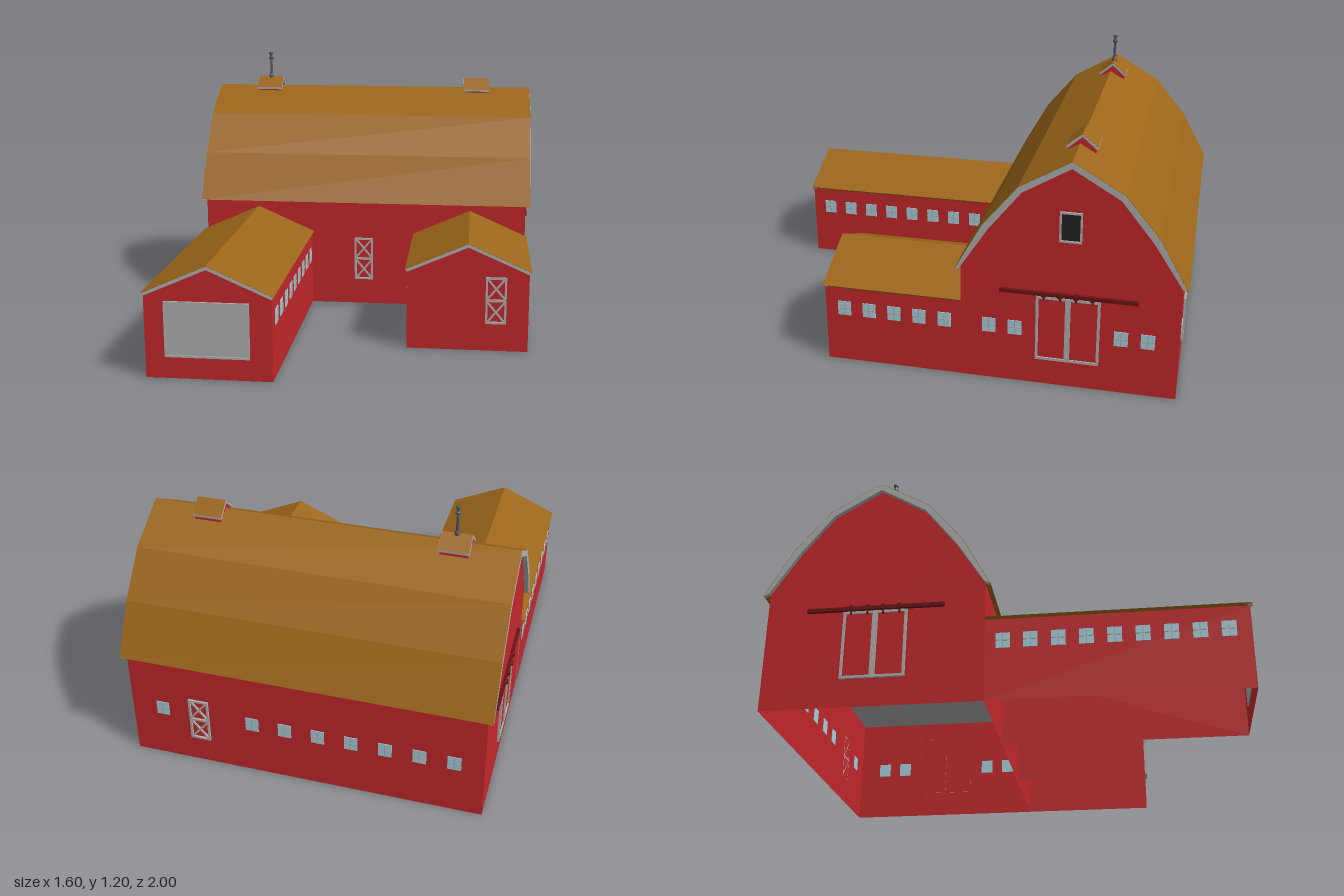
import * as THREE from 'three';

const mat = (color, side = THREE.FrontSide) =>
  new THREE.MeshStandardMaterial({ color, side, flatShading: true });
const RED = mat(0xc4282b, THREE.DoubleSide);
const ROOF = mat(0x9c6619, THREE.DoubleSide);
const TRIM = mat(0xb0b0b0);
const CEILING = mat(0xb0b0b0, THREE.DoubleSide);
const GLASS = mat(0xa9d3e0);
const DARK = mat(0x222222);
const RAIL = mat(0x6b1214);
const METAL = mat(0x55585c);

function add(parent, name, geometry, material, x = 0, y = 0, z = 0) {
  const mesh = new THREE.Mesh(geometry, material);
  mesh.name = name;
  mesh.position.set(x, y, z);
  parent.add(mesh);
  return mesh;
}

function group(parent, name, x = 0, y = 0, z = 0, turn = 0) {
  const g = new THREE.Group();
  g.name = name;
  g.position.set(x, y, z);
  g.rotation.y = turn;
  parent.add(g);
  return g;
}

const box = (w, h, d) => new THREE.BoxGeometry(w, h, d);

// Flat bar between two points in the local xy plane
function bar(parent, x1, y1, x2, y2, width, depth, material = TRIM, z = depth / 2) {
  const m = add(parent, 'bar', box(Math.hypot(x2 - x1, y2 - y1), width, depth), material,
    (x1 + x2) / 2, (y1 + y2) / 2, z);
  m.rotation.z = Math.atan2(y2 - y1, x2 - x1);
}

// Rectangular frame centred on the origin
function frame(parent, w, h, t, depth) {
  for (const s of [-1, 1]) {
    bar(parent, -w / 2, s * (h - t) / 2, w / 2, s * (h - t) / 2, t, depth);
    bar(parent, s * (w - t) / 2, -h / 2, s * (w - t) / 2, h / 2, t, depth);
  }
}

// Half profile (eave to ridge) mirrored into a full left-to-right outline
const mirrored = (half) => [
  ...half.map(([x, y]) => [-x, y]),
  ...half.slice(0, -1).reverse(),
];
const shapeOf = (points) => new THREE.Shape(points.map(([x, y]) => new THREE.Vector2(x, y)));

function extrude(points, z0, z1) {
  const g = new THREE.ExtrudeGeometry(shapeOf(points), { depth: z1 - z0, bevelEnabled: false });
  return g.translate(0, 0, z0);
}

// Gabled building, ridge along local z, open underneath
function building(parent, outer, inner, halfWidth, walls, roof, base = 0, trims = [-1, 1]) {
  const top = mirrored(outer);
  const under = mirrored(inner);
  add(parent, 'roof', extrude([...top, ...under.slice().reverse()], roof[0], roof[1]), ROOF);

  // rake boards closing the roof ends
  const board = [...top.map(([x, y]) => [x * 0.997, y - 0.002]),
    ...under.slice().reverse().map(([x, y]) => [x, y - 0.002])];
  for (const s of trims) {
    const end = s < 0 ? roof[0] : roof[1];
    add(parent, 'rakeTrim', extrude(board, ...(s < 0 ? [end - 0.001, end + 0.02] : [end - 0.02, end + 0.001])), TRIM);
  }

  // gable walls and side walls
  const gable = shapeOf([[-halfWidth, base], ...under, [halfWidth, base]]);
  for (const s of trims) {
    add(parent, 'gableWall', new THREE.ShapeGeometry(gable), RED, 0, 0, s < 0 ? walls[0] : walls[1]);
  }
  const length = walls[1] - walls[0];
  const height = inner[0][1] - base;
  for (const s of [-1, 1]) {
    const wall = add(parent, 'sideWall', new THREE.PlaneGeometry(length, height), RED,
      s * halfWidth, base + height / 2, (walls[0] + walls[1]) / 2);
    wall.rotation.y = s * Math.PI / 2;
  }
}

// Four-pane window
function windowPane(parent, x, z, turn) {
  const g = group(parent, 'window', x, 0.255, z, turn);
  add(g, 'glass', box(0.058, 0.066, 0.006), GLASS);
  bar(g, -0.029, 0, 0.029, 0, 0.004, 0.005);
  bar(g, 0, -0.033, 0, 0.033, 0.004, 0.005);
}

// Narrow door with two crossed panels
function crossDoor(parent, x, z, turn) {
  const g = group(parent, 'crossBracedDoor', x, 0.228, z, turn);
  frame(g, 0.09, 0.208, 0.009, 0.009);
  bar(g, -0.045, 0, 0.045, 0, 0.01, 0.009);
  for (const y of [-0.1, 0.004]) {
    bar(g, -0.04, y, 0.04, y + 0.096, 0.008, 0.007);
    bar(g, -0.04, y + 0.096, 0.04, y, 0.008, 0.007);
  }
}

// Pair of sliding doors hung from a rail
function slidingDoors(parent, x, z, turn) {
  const g = group(parent, 'slidingDoors', x, 0.27, z, turn);
  for (const s of [-1, 1]) {
    const leaf = group(g, 'doorLeaf', s * 0.067, 0, 0);
    add(leaf, 'doorPanel', box(0.132, 0.296, 0.006), RED, 0, 0, 0.002);
    frame(leaf, 0.133, 0.298, 0.011, 0.011);
    for (const d of [-0.034, 0.034]) {
      add(leaf, 'hanger', box(0.008, 0.04, 0.008), RAIL, d, 0.155, 0.01);
      const wheel = add(leaf, 'hangerWheel', new THREE.CylinderGeometry(0.012, 0.012, 0.012, 10), RAIL, d, 0.161, 0.016);
      wheel.rotation.x = Math.PI / 2;
    }
  }
  add(g, 'rail', box(0.575, 0.016, 0.014), RAIL, 0, 0.161, 0.008);
}

export function createModel() {
  const model = new THREE.Group();
  model.name = 'barn';
  const { PI } = Math;

  // Main barn with a curved gambrel roof
  const barn = group(model, 'mainBarn', 0, 0, -0.52, PI / 2);
  building(barn,
    [[0.48, 0.51], [0.36, 0.725], [0.213, 0.902], [0, 1.025]],
    [[0.457, 0.52], [0.335, 0.708], [0.198, 0.88], [0, 0.997]],
    0.457, [-0.777, 0.777], [-0.799, 0.799]);
  add(barn, 'ceiling', new THREE.PlaneGeometry(0.914, 1.554).rotateX(PI / 2), CEILING, 0, 0.51, 0);

  // Doors and windows of the main barn
  for (const s of [-1, 1]) slidingDoors(model, s * 0.777, -0.518, s * PI / 2);
  for (const z of [-0.185, -0.295, -0.74, -0.85]) windowPane(model, 0.777, z, PI / 2);
  crossDoor(model, 0, -0.063, 0);
  crossDoor(model, 0.466, -0.977, PI);
  windowPane(model, 0.635, -0.977, PI);
  for (let i = 0; i < 7; i++) windowPane(model, 0.225 - i * 0.146, -0.977, PI);

  // Loft opening
  const loft = group(model, 'loftWindow', 0.777, 0.737, -0.52, PI / 2);
  add(loft, 'opening', box(0.085, 0.125, 0.006), DARK);
  frame(loft, 0.092, 0.132, 0.008, 0.009);

  // Two low wings with rows of windows
  const wings = [
    { name: 'longWing', x: -0.518, end: 0.99, count: 9 },
    { name: 'shortWing', x: 0.513, end: 0.54, count: 5 },
  ];
  for (const { name, x, end, count } of wings) {
    const wing = group(model, name, x);
    building(wing, [[0.272, 0.36], [0, 0.48]], [[0.2625, 0.35], [0, 0.465]],
      0.2625, [-0.063, end], [-0.063, end + 0.009], 0, [1]);
    for (let i = 0; i < count; i++) {
      for (const s of [-1, 1]) windowPane(wing, s * 0.2625, 0.01 + i * 0.1115, s * PI / 2);
    }
  }
  crossDoor(model, 0.635, 0.54, 0);

  // Garage door on the long wing
  const garage = group(model, 'garageDoor', -0.523, 0.21, 0.99);
  add(garage, 'doorPanel', box(0.345, 0.23, 0.008), TRIM);
  frame(garage, 0.35, 0.235, 0.008, 0.009);

  // Roof cupolas
  for (const x of [-0.535, 0.53]) {
    const cupola = group(model, 'cupola', x, 0, -0.53, PI / 2);
    building(cupola, [[0.065, 1.018], [0, 1.07]], [[0.06, 1.006], [0, 1.058]],
      0.052, [-0.058, 0.058], [-0.064, 0.064], 0.96);
    for (const s of [-1, 1]) add(cupola, 'eaveTrim', box(0.006, 0.01, 0.128), TRIM, s * 0.062, 1.013, 0);
  }

  // Lightning rod on one cupola
  const rod = group(model, 'lightningRod', -0.535, 0, -0.53);
  const profile = [[0, 1.06], [0.012, 1.06], [0.012, 1.072], [0.007, 1.085], [0.006, 1.155], [0.012, 1.16],
    [0.012, 1.168], [0.006, 1.172], [0.006, 1.182], [0.011, 1.185], [0.011, 1.192], [0, 1.195]];
  add(rod, 'rod', new THREE.LatheGeometry(profile.map(([r, y]) => new THREE.Vector2(r, y)), 10), METAL);
  return model;
}
